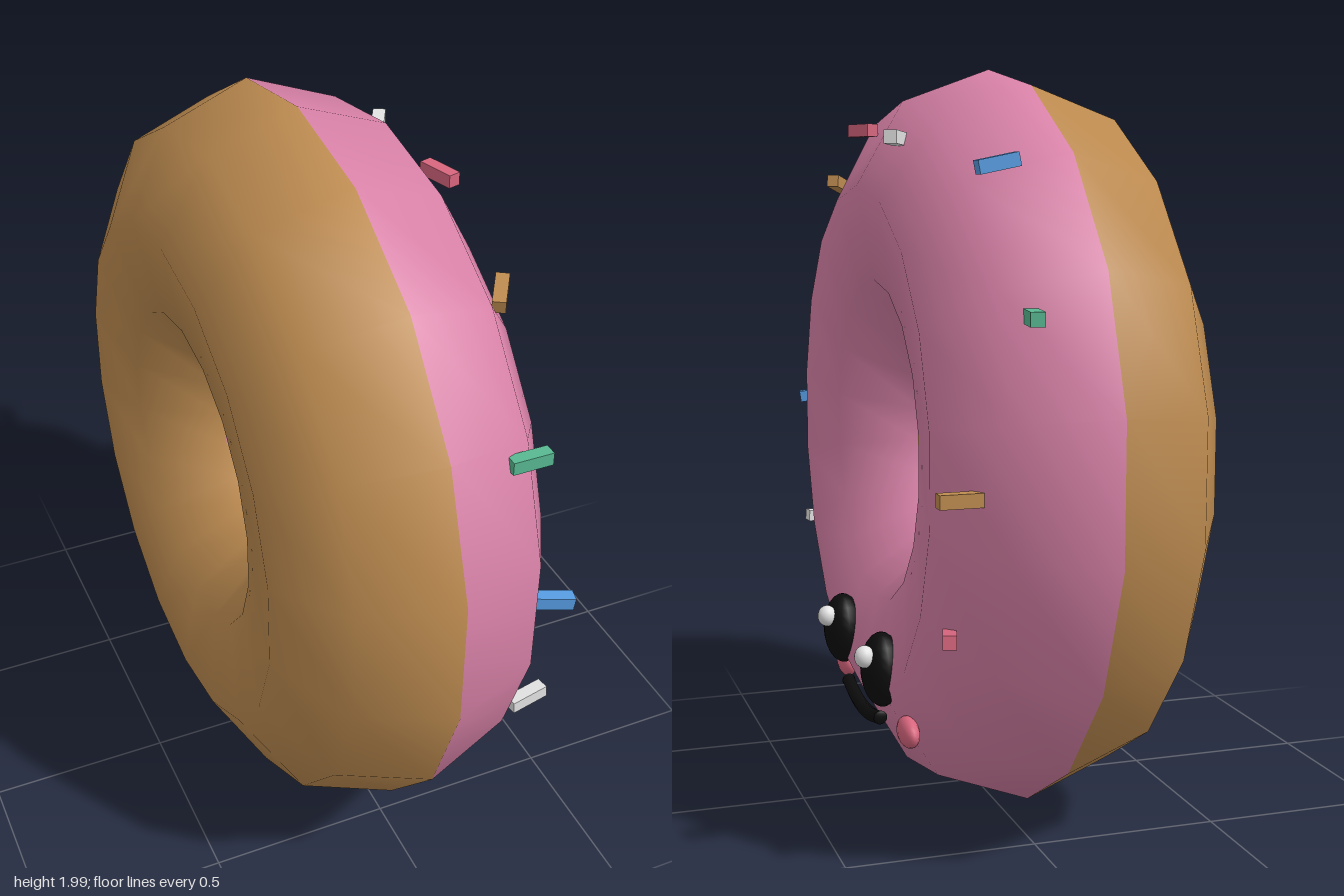
import * as THREE from 'three';

const mat = (name, color) => Object.assign(new THREE.MeshStandardMaterial({ color }), { name });

export function createModel() {
  const icing = mat('pink icing', 0xd982a8);
  const dough = mat('golden dough', 0xbd8b50);
  const black = mat('black', 0x0c0c0c);
  const white = mat('white', 0xe2e2e2);
  const blue = mat('blue', 0x559be0);
  const green = mat('green', 0x58b892);
  const red = mat('rose red', 0xd8667e);

  const model = new THREE.Group();
  model.name = 'donut';
  const add = (name, geometry, material, x = 0, y = 0, z = 0, parent = model) => {
    const mesh = new THREE.Mesh(geometry, material);
    mesh.name = name;
    mesh.position.set(x, y, z);
    parent.add(mesh);
    return mesh;
  };

  // Ring: rows of the torus are coloured as icing (+x) or dough (-x)
  const sides = 9, steps = 18, row = steps * 6;
  const ring = new THREE.TorusGeometry(0.622, 0.373, sides, steps);
  ring.rotateZ(Math.PI / 18).rotateY(Math.PI / 2);
  ring.clearGroups();
  ring.addGroup(0, 4 * row, 0);
  // Inner wall row: mostly dough, with icing drips
  const drips = [1, 7, 10, 16];
  for (let i = 0; i < steps; i++) ring.addGroup(4 * row + i * 6, 6, drips.includes(i) ? 0 : 1);
  ring.addGroup(5 * row, 4 * row, 1);
  add('ring', ring, [icing, dough], -0.037, 1.003, 0);

  // Face
  const face = new THREE.Group();
  face.name = 'face';
  model.add(face);
  const ball = (name, material, p, r) => {
    const g = new THREE.SphereGeometry(1, 16, 12).scale(...r);
    add(name, g, material, ...p, face);
  };
  for (const s of [1, -1]) {
    const side = s > 0 ? 'Right' : 'Left';
    ball('eye' + side, black, [0.33, 0.425, s * 0.22], [0.056, 0.1, 0.077]);
    ball('eyeGlint' + side, white, [0.383, 0.47, s * 0.22 - 0.024], [0.027, 0.03, 0.028]);
    ball('cheek' + side, red, [0.292, 0.287, s * 0.34], [0.027, 0.04, 0.064]);
  }
  const smile = new THREE.CatmullRomCurve3([
    [0.325, 0.279, 0.18], [0.327, 0.261, 0.09], [0.328, 0.255, 0],
    [0.327, 0.261, -0.09], [0.325, 0.279, -0.18],
  ].map(p => new THREE.Vector3(...p)));
  add('smile', new THREE.TubeGeometry(smile, 16, 0.019, 8), black, 0, 0, 0, face);
  for (const z of [0.18, -0.18]) ball('smileEnd', black, [0.325, 0.279, z], [0.019, 0.019, 0.006]);

  // Sprinkles: material, centre, direction
  const sprinkle = new THREE.BoxGeometry(0.034, 0.034, 0.105);
  [
    [red, [0.27, 1.838, 0.17], [0.3, 0, 1]],
    [white, [0.28, 1.808, -0.205], [0.5, 0.04, -0.9]],
    [blue, [0.145, 1.74, -0.62], [1, -0.2, -0.05]],
    [green, [0.145, 1.398, -0.88], [0.2, 0, -1]],
    [dough, [0.297, 0.983, -0.81], [1, 0, 0]],
    [red, [0.295, 0.635, -0.72], [0.3, 0.12, -1]],
    [dough, [0.257, 1.693, 0.525], [0.55, 0.2, -0.85]],
    [green, [0.19, 1.427, 0.825], [1, 0, 0]],
    [blue, [0.255, 1.025, 0.88], [1, -0.15, 0.25]],
    [white, [0.255, 0.641, 0.81], [1, 0.08, -0.15]],
  ].forEach(([material, c, d], i) => {
    const m = add('sprinkle' + (i + 1), sprinkle, material, ...c);
    m.lookAt(c[0] + d[0], c[1] + d[1], c[2] + d[2]);
  });

  return model;
}
